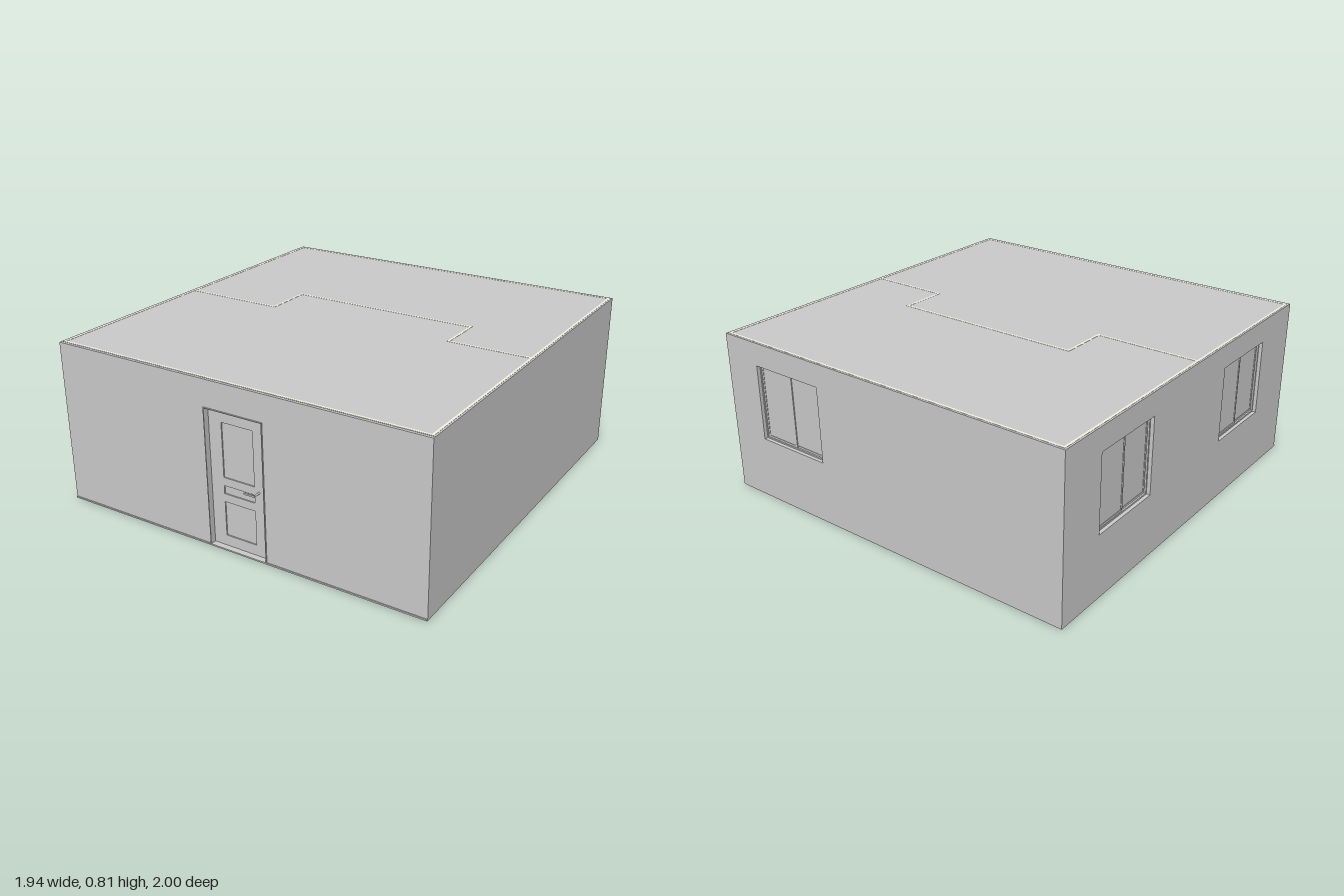
import * as THREE from 'three';

const grey = new THREE.MeshStandardMaterial({ color: 0xcccccc });
const cream = new THREE.MeshStandardMaterial({ color: 0xf6f3e6 });
const H = 0.81;

// Box given by its minimum and maximum corners
function box(name, x0, x1, y0, y1, z0, z1, mat = grey) {
  const m = new THREE.Mesh(new THREE.BoxGeometry(x1 - x0, y1 - y0, z1 - z0), mat);
  m.position.set((x0 + x1) / 2, (y0 + y1) / 2, (z0 + z1) / 2);
  m.name = name;
  return m;
}

// Upright slab with rectangular holes [x0, x1, y0, y1]; its front face lies at z = front
function slab(name, [x0, x1, y0, y1], holes, front, depth, mat = grey) {
  const rect = (path, a, b, c, d) =>
    path.moveTo(a, c).lineTo(b, c).lineTo(b, d).lineTo(a, d).closePath();
  const shape = new THREE.Shape();
  rect(shape, x0, x1, y0, y1);
  for (const h of holes) {
    const path = new THREE.Path();
    rect(path, ...h);
    shape.holes.push(path);
  }
  const geo = new THREE.ExtrudeGeometry(shape, { depth, bevelEnabled: false });
  geo.translate(0, 0, front - depth);
  const m = new THREE.Mesh(geo, mat);
  m.name = name;
  return m;
}

// Panelled door, 0.31 wide, with its wall face at z = 0
function door() {
  const g = new THREE.Group();
  g.name = 'door';
  const w = 0.155, h = 0.68;
  for (const s of [-1, 1]) {
    const x = s * (w - 0.002);
    g.add(box('doorCasingSide', x - 0.002, x + 0.002, 0, h, -0.03, 0.005));
  }
  g.add(box('doorCasingTop', -w, w, h - 0.004, h, -0.03, 0.005));
  const panels = [[0.06, 0.23], [0.27, 0.31], [0.35, 0.615]];
  g.add(slab('doorLeaf', [-w, w, 0.002, h],
    panels.map(([a, b]) => [-0.083, 0.083, a, b]), -0.025, 0.012));
  g.add(box('doorPanels', -0.09, 0.09, 0.05, 0.63, -0.042, -0.031));

  // Lever handle
  const stem = new THREE.Mesh(new THREE.CylinderGeometry(0.005, 0.005, 0.038, 12), grey);
  stem.rotation.x = Math.PI / 2;
  stem.position.set(0.108, 0.327, -0.008);
  stem.name = 'handleStem';
  g.add(stem, box('handleLever', 0.053, 0.113, 0.323, 0.331, 0.007, 0.015));
  return g;
}

// Two-sash sliding window set back from the wall face at z = 0
function windowUnit() {
  const g = new THREE.Group();
  g.name = 'window';
  const w = 0.2, y0 = 0.315, y1 = 0.695, f = 0.007;
  g.add(slab('windowFrame', [-w, w, y0, y1], [[-w + f, w - f, y0 + f, y1 - f]], -0.018, 0.022));
  [[-w + f, 0.007, -0.021], [-0.007, w - f, -0.026]].forEach(([a, b, z]) => {
    g.add(slab('sash', [a, b, y0 + f, y1 - f],
      [[a + 0.01, b - 0.01, y0 + f + 0.01, y1 - f - 0.01]], z, 0.005));
    g.add(box('pane', a + 0.008, b - 0.008, y0 + 0.015, y1 - 0.015, z - 0.004, z - 0.002));
  });
  return g;
}

export function createModel() {
  const model = new THREE.Group();
  const X = 0.972, T = 0.03, F = 0.985, PI = Math.PI;
  const hole = c => [c - 0.2, c + 0.2, 0.315, 0.695];

  // Outer walls; door and window openings are cut through
  model.add(slab('frontWall', [-X, X, 0, H], [[-0.132, 0.178, 0.001, 0.68]], F, T));
  const back = slab('backWall', [-X, X, 0, H], [hole(-0.57)], 1, T);
  back.rotation.y = PI;
  const right = slab('rightWall', [-1 + T, F - T, 0, H], [hole(-0.545), hole(0.492)], X, T);
  right.rotation.y = -PI / 2;
  model.add(back, right, box('leftWall', X - T, X, 0, H, -1 + T, F - T));

  // Windows: one at the back, two on the right
  for (const [x, z, turn] of [[0.57, -1, PI], [-X, -0.545, -PI / 2], [-X, 0.492, -PI / 2]]) {
    const unit = windowUnit();
    unit.position.set(x, 0, z);
    unit.rotation.y = turn;
    model.add(unit);
  }

  // Entrance door
  const entrance = door();
  entrance.position.set(0.023, 0, F);
  model.add(entrance);

  // Floor and ceiling slabs
  model.add(box('floor', -X, X, 0.001, 0.008, -1, 0.99));
  model.add(box('ceiling', -X, X, 0.795, 0.811, -1, 0.972));

  // Pale wall core showing around the rim, above and below
  for (const [y0, y1] of [[0, 0.006], [0.8, 0.812]]) {
    for (const s of [-1, 1]) {
      model.add(box('rimSide', s * 0.957 - 0.006, s * 0.957 + 0.006, y0, y1, -0.99, 0.97, cream));
      const z = s > 0 ? 0.964 : -0.984;
      model.add(box('rimEnd', -0.951, 0.951, y0, y1, z - 0.006, z + 0.006, cream));
    }
  }

  // Partition walls, stepping back in the middle with two doorways
  const P = 0.812, t = 0.006;
  model.add(box('partition', -0.951, -0.435 + t, 0, P, 0.04 - t, 0.04 + t, cream));
  model.add(box('partition', 0.545 - t, 0.951, 0, P, 0.028 - t, 0.028 + t, cream));
  model.add(box('partition', -0.435 - t, -0.435 + t, 0, P, -0.205, 0.04 - t, cream));
  model.add(box('partition', 0.545 - t, 0.545 + t, 0, P, -0.205, 0.028 - t, cream));
  const doorways = [-0.12, 0.34];
  model.add(slab('partition', [-0.435 - t, 0.545 + t, 0, P],
    doorways.map(c => [c - 0.155, c + 0.155, 0.001, 0.68]), -0.205 + t, 2 * t, cream));
  for (const c of doorways) {
    const inner = door();
    inner.position.set(c, 0.008, -0.19);
    model.add(inner);
  }
  return model;
}
